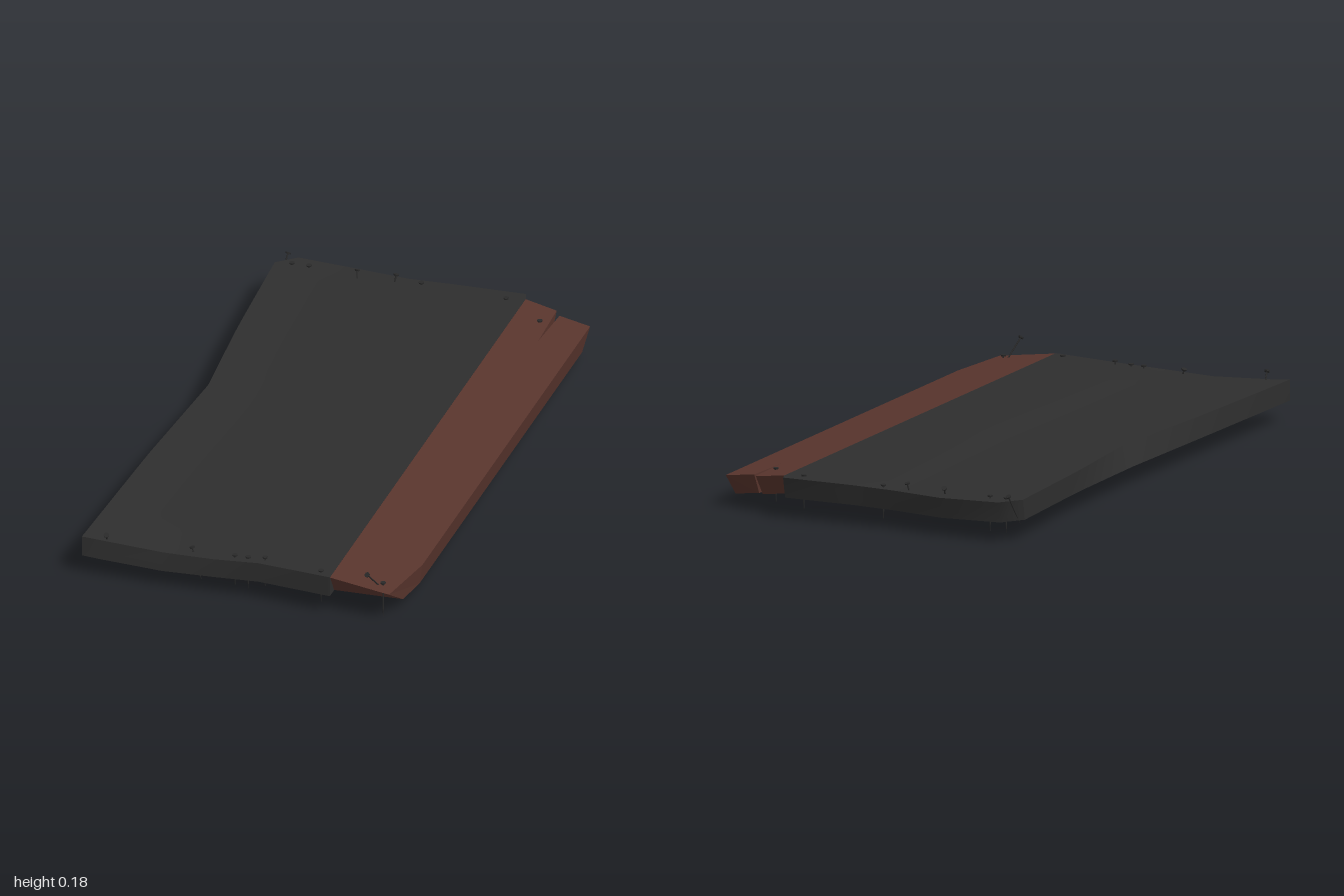
import * as THREE from 'three';

const mat = (name, color) => {
  const m = new THREE.MeshStandardMaterial({ color });
  m.name = name;
  return m;
};

// Straight-line interpolation through [position, value] pairs
function along(t, pairs) {
  for (let i = 1; i < pairs.length; i++) {
    const [a, va] = pairs[i - 1], [b, vb] = pairs[i];
    if (t <= b) return va + (vb - va) * Math.max(0, (t - a) / (b - a));
  }
  return pairs[pairs.length - 1][1];
}

// Worn wide plank: a gridded box whose edges and surface are warped
function wideBoard(material) {
  const xs = [-0.54, -0.48, -0.27, -0.1, 0.05, 0.29, 0.3];
  const back = [-0.94, -1, -1, -0.985, -0.99, -1, -0.97];
  const front = [0.98, 0.975, 0.97, 0.97, 0.96, 0.98, 0.98];
  const sag = [0, 0.003, 0.009, 0.006, 0.002, 0, 0];
  const leftTop = [[-0.94, 0], [-0.5, 0.025], [-0.1, 0.06], [0.4, 0.025], [0.98, 0]];
  const leftBottom = [[-0.94, 0], [-0.5, 0.025], [-0.1, 0.03], [0.4, 0.015], [0.98, 0]];
  const rows = 16;
  const g = new THREE.BoxGeometry(1, 1, 1, xs.length - 1, 1, rows);
  const p = g.attributes.position;
  for (let i = 0; i < p.count; i++) {
    const c = Math.round((p.getX(i) + 0.5) * (xs.length - 1));
    const top = p.getY(i) > 0, t = p.getZ(i) + 0.5;
    const z0 = back[c] + (top ? 0 : 0.015);
    const z1 = top ? front[c] : Math.max(front[c], c < 3 ? 0.98 : 0);
    const z = z0 + (z1 - z0) * t;
    const fade = (0.3 - xs[c]) / 0.84;
    const x = xs[c] + along(z, top ? leftTop : leftBottom) * fade;
    const dip = sag[c] * (top && t > 0.99 ? 1.7 : 1);
    p.setXYZ(i, x, (top ? 0.138 : 0.069) - dip, z);
  }
  g.computeVertexNormals();
  const mesh = new THREE.Mesh(g, material);
  mesh.name = 'wideBoard';
  return mesh;
}

// Tilted narrow plank, split at the back end and undercut at both ends
function sideBoard(material) {
  const top = [[0.295, -0.97], [0.41, -0.955], [0.418, -0.75], [0.428, -0.93],
    [0.535, -0.92], [0.535, 0.75], [0.5, 0.98], [0.295, 0.98]];
  const bottom = [[0.295, -0.93], [0.408, -0.91], [0.418, -0.75], [0.43, -0.89],
    [0.525, -0.87], [0.525, 0.75], [0.51, 0.87], [0.295, 0.94]];
  const shape = new THREE.Shape(top.map(([x, z]) => new THREE.Vector2(x, -z)));
  const g = new THREE.ExtrudeGeometry(shape, { depth: 1, bevelEnabled: false });
  g.rotateX(-Math.PI / 2);
  const p = g.attributes.position;
  for (let i = 0; i < p.count; i++) {
    const upper = p.getY(i) > 0.5;
    const k = top.findIndex(([x, z]) => Math.hypot(x - p.getX(i), z - p.getZ(i)) < 1e-4);
    const [x, z] = (upper ? top : bottom)[k];
    p.setXYZ(i, x, upper ? 0.137 - (x - 0.3) * 0.137 : 0.07 - (x - 0.3) * 0.155, z);
  }
  g.computeVertexNormals();
  const mesh = new THREE.Mesh(g, material);
  mesh.name = 'sideBoard';
  return mesh;
}

// Nail running from its point to its head, at any tilt
function nail(head, tip, material) {
  const a = new THREE.Vector3(...head), b = new THREE.Vector3(...tip);
  const length = a.distanceTo(b);
  const group = new THREE.Group();
  group.name = 'nail';
  const shaft = new THREE.Mesh(new THREE.CylinderGeometry(0.0025, 0.0025, length * 0.75, 6), material);
  shaft.name = 'nailShaft';
  shaft.position.y = -length * 0.375;
  const point = new THREE.Mesh(new THREE.CylinderGeometry(0.0025, 0.0004, length * 0.25, 6), material);
  point.name = 'nailPoint';
  point.position.y = -length * 0.875;
  const cap = new THREE.Mesh(new THREE.CylinderGeometry(0.009, 0.008, 0.005, 10), material);
  cap.name = 'nailHead';
  group.add(shaft, point, cap);
  group.position.copy(a);
  group.quaternion.setFromUnitVectors(new THREE.Vector3(0, 1, 0), a.sub(b).normalize());
  return group;
}

export function createModel() {
  const charcoal = mat('charcoal wood', 0x2e2e2e);
  const brown = mat('brown wood', 0x59352d);
  const iron = mat('dark iron', 0x292929);

  const model = new THREE.Group();
  model.name = 'nailedPlanks';
  model.add(wideBoard(charcoal), sideBoard(brown));

  // Nails as head and point positions
  const nails = [
    // back end
    [[-0.51, 0.154, -0.985], [-0.525, 0.055, -0.93]],
    [[-0.485, 0.14, -0.95], [-0.485, 0.025, -0.95]],
    [[-0.427, 0.141, -0.95], [-0.427, 0.025, -0.95]],
    [[-0.265, 0.15, -0.955], [-0.25, 0.07, -0.9]],
    [[-0.135, 0.154, -0.96], [-0.148, 0.07, -0.94]],
    [[-0.05, 0.14, -0.96], [-0.05, 0.025, -0.96]],
    [[0.24, 0.14, -0.95], [0.24, 0.022, -0.95]],
    [[0.385, 0.13, -0.86], [0.385, 0.015, -0.86]],
    // front end
    [[-0.457, 0.157, 0.98], [-0.47, 0.08, 0.92]],
    [[-0.18, 0.142, 0.94], [-0.145, 0.035, 0.95]],
    [[-0.035, 0.139, 0.94], [-0.035, 0.025, 0.94]],
    [[0.01, 0.14, 0.94], [0.01, 0.025, 0.94]],
    [[0.065, 0.146, 0.935], [0.065, 0.037, 0.935]],
    [[0.26, 0.14, 0.95], [0.26, 0.025, 0.95]],
    [[0.465, 0.123, 0.935], [0.465, 0, 0.935]],
    [[0.43, 0.175, 0.99], [0.455, 0.1, 0.925]],
  ];
  for (const [head, tip] of nails) model.add(nail(head, tip, iron));
  return model;
}
